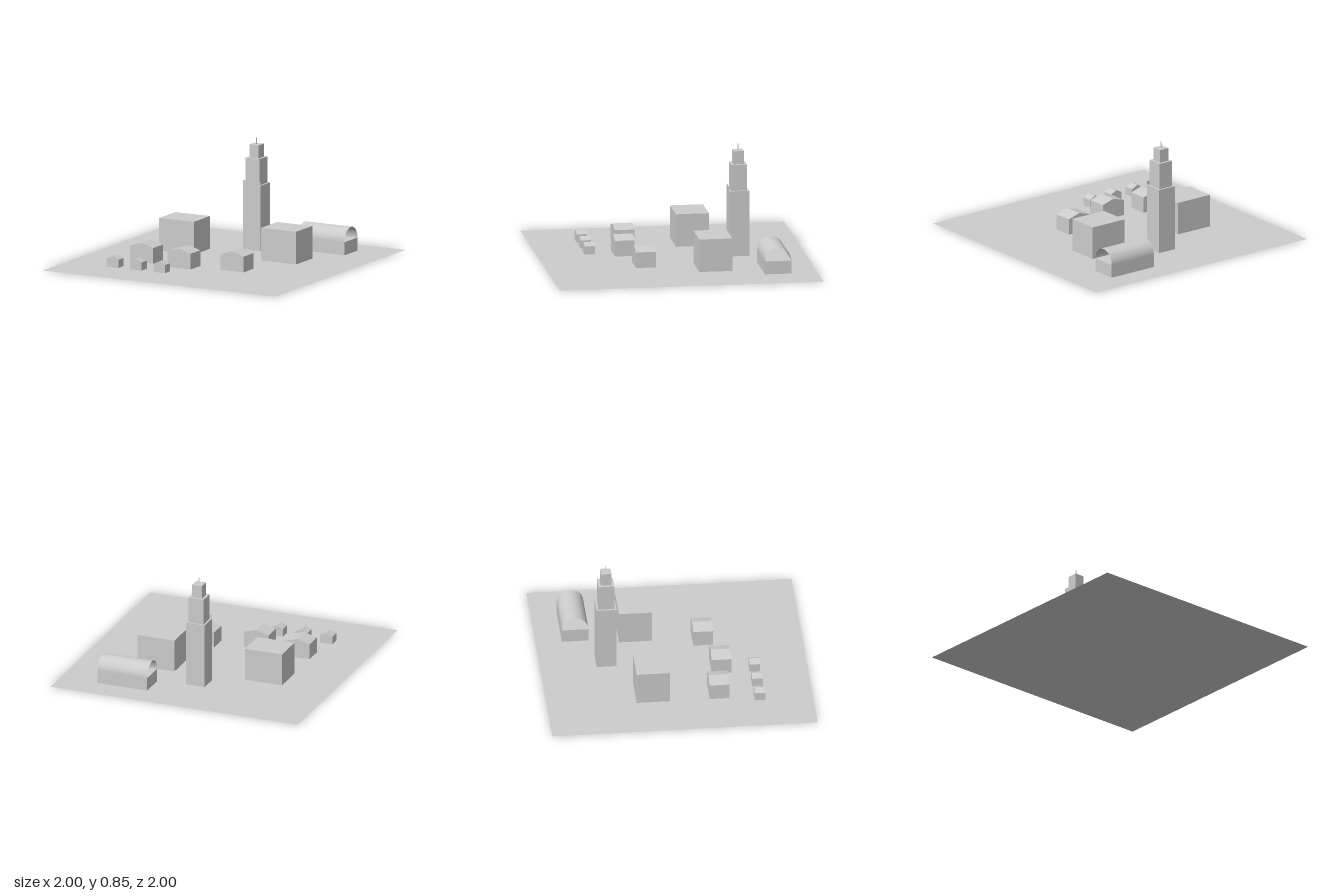
import * as THREE from 'three';

const concrete = new THREE.MeshStandardMaterial({ color: 0xcccccc, side: THREE.DoubleSide });
concrete.name = 'plain grey';

function add(parent, name, geometry, x, y, z) {
  const mesh = new THREE.Mesh(geometry, concrete);
  mesh.name = name;
  mesh.position.set(x, y, z);
  parent.add(mesh);
  return mesh;
}

// Box given by its base centre
function block(parent, name, w, h, d, x, y, z) {
  return add(parent, name, new THREE.BoxGeometry(w, h, d), x, y + h / 2, z);
}

// Pentagonal gable house with its ridge along z
function house(parent, name, w, eave, ridge, d, x, z) {
  const gable = new THREE.Shape([
    new THREE.Vector2(-w / 2, 0),
    new THREE.Vector2(w / 2, 0),
    new THREE.Vector2(w / 2, eave),
    new THREE.Vector2(0, ridge),
    new THREE.Vector2(-w / 2, eave),
  ]);
  const geometry = new THREE.ExtrudeGeometry(gable, { depth: d, bevelEnabled: false });
  geometry.translate(0, 0, -d / 2);
  return add(parent, name, geometry, x, 0, z);
}

export function createModel() {
  const town = new THREE.Group();
  town.name = 'town';

  // Flat ground sheet
  add(town, 'ground', new THREE.PlaneGeometry(2, 2).rotateX(-Math.PI / 2), 0, 0, 0);

  // Stepped tower with a mast and a thin front parapet
  const tower = new THREE.Group();
  tower.name = 'tower';
  tower.position.set(0, 0, -0.5);
  town.add(tower);
  block(tower, 'towerBase', 0.15, 0.5, 0.15, 0, 0, 0);
  block(tower, 'towerMiddle', 0.12, 0.2, 0.12, 0, 0.5, 0);
  block(tower, 'towerTop', 0.08, 0.1, 0.08, 0, 0.7, 0);
  block(tower, 'mast', 0.005, 0.05, 0.005, 0, 0.8, 0);
  add(tower, 'frontParapet', new THREE.PlaneGeometry(0.15, 0.03), 0, 0.515, 0.075);

  // Two large blocks
  block(town, 'leftBlock', 0.3, 0.25, 0.25, 0.4, 0, -0.25);
  block(town, 'rightBlock', 0.3, 0.25, 0.25, -0.45, 0, -0.2);

  // Hangar: low walls under an open-ended barrel roof
  const hangar = new THREE.Group();
  hangar.name = 'hangar';
  hangar.position.set(0.5, 0, -0.7);
  town.add(hangar);
  block(hangar, 'hangarWalls', 0.4, 0.1, 0.2, 0, 0, 0);
  const roof = new THREE.CylinderGeometry(0.1, 0.1, 0.4, 32, 1, true, 0, Math.PI);
  roof.rotateZ(Math.PI / 2);
  add(hangar, 'hangarRoof', roof, 0, 0.1, 0);

  // Medium and small houses
  for (const [x, z] of [[-0.5, 0.3], [-0.15, 0.35], [0.25, 0.25]]) {
    house(town, 'house', 0.2, 0.12, 0.15, 0.15, x, z);
  }
  for (const x of [-0.6, -0.4, -0.2]) {
    house(town, 'cottage', 0.1, 0.062, 0.085, 0.08, x, 0.6);
  }
  return town;
}
